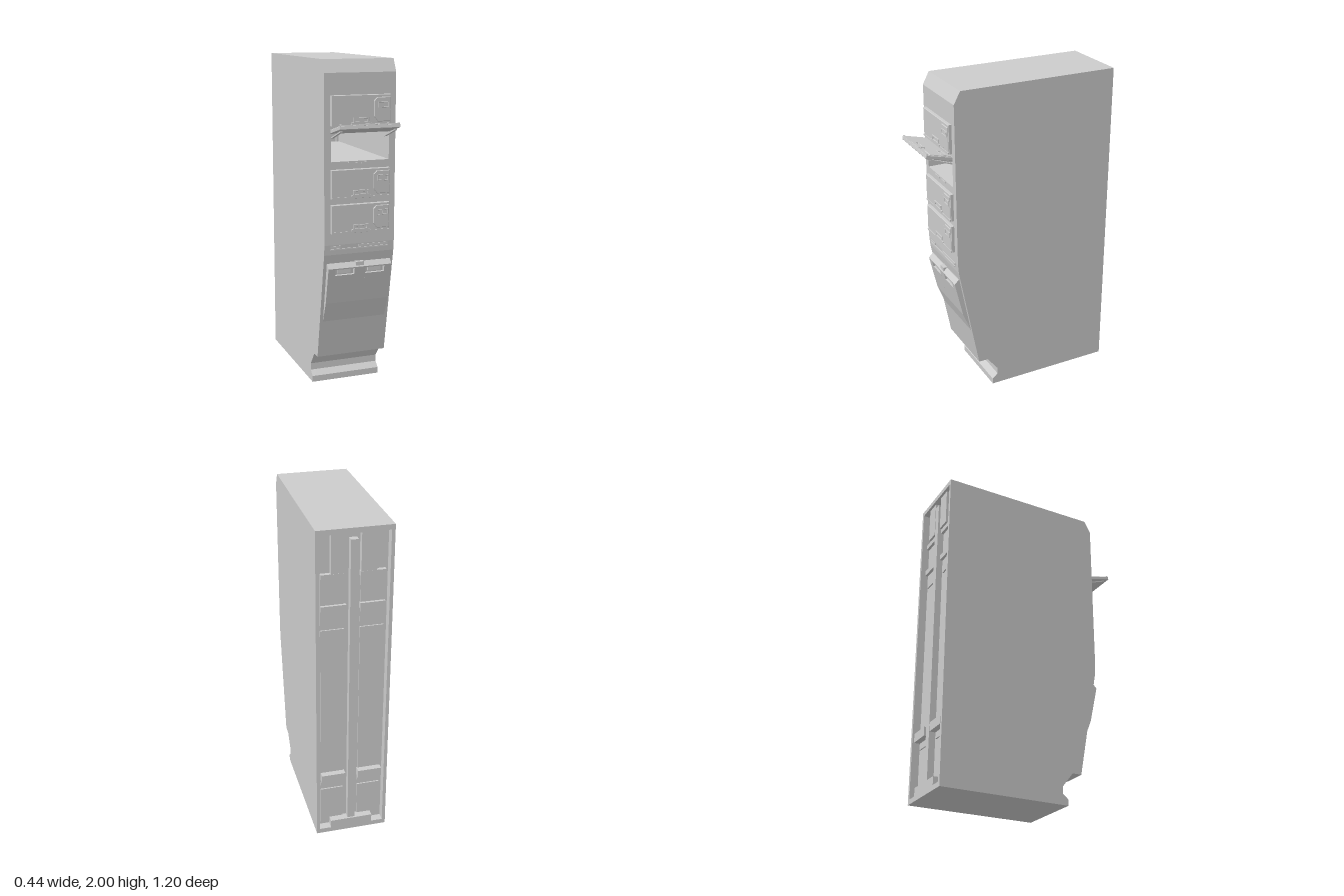
import * as THREE from 'three';

const material = new THREE.MeshStandardMaterial({ color: 0xcccccc, flatShading: true });

function add(parent, name, geometry, x = 0, y = 0, z = 0) {
  const mesh = new THREE.Mesh(geometry, material);
  mesh.name = name;
  mesh.position.set(x, y, z);
  parent.add(mesh);
  return mesh;
}

// Box given by its limits on each axis
function block(parent, name, [x0, x1], [y0, y1], [z0, z1]) {
  return add(parent, name, new THREE.BoxGeometry(x1 - x0, y1 - y0, z1 - z0),
    (x0 + x1) / 2, (y0 + y1) / 2, (z0 + z1) / 2);
}

const toShape = (points) => new THREE.Shape(points.map(([a, b]) => new THREE.Vector2(a, b)));

// Side profile of (z, y) points, extruded from x0 to x1
function slice(parent, name, profile, x0, x1) {
  const geometry = new THREE.ExtrudeGeometry(toShape(profile), { depth: x1 - x0, bevelEnabled: false });
  geometry.rotateY(-Math.PI / 2).translate(x1, 0, 0);
  return add(parent, name, geometry);
}

// Flat outline of (x, y) points with a small bevel, from z0 forward
function plate(parent, name, points, z0, depth, bevel = 0.003, holes = []) {
  const shape = toShape(points);
  holes.forEach((h) => shape.holes.push(new THREE.Path(h.map(([a, b]) => new THREE.Vector2(a, b)))));
  const geometry = new THREE.ExtrudeGeometry(shape, {
    depth: depth - bevel, bevelEnabled: true, bevelThickness: bevel, bevelSize: bevel,
    bevelOffset: -bevel, bevelSegments: 1,
  });
  return add(parent, name, geometry, 0, 0, z0);
}

const rect = (x0, x1, y0, y1) => [[x0, y0], [x1, y0], [x1, y1], [x0, y1]];

// Door hanging down from its top edge, outer face toward +z
function createDoor(height) {
  const door = new THREE.Group();
  door.name = 'door';
  plate(door, 'doorPanel', rect(-0.183, 0.18, -height, 0), 0, 0.02);
  plate(door, 'latchPlate', [[0.1, -height + 0.02], [0.176, -height + 0.02], [0.176, -0.015],
    [0.095, -0.015], [0.076, -0.034], [0.076, -height + 0.05]], 0.018, 0.007);
  plate(door, 'latchFrame', rect(0.098, 0.17, -0.075, -0.04), 0.023, 0.005, 0.001,
    [rect(0.104, 0.164, -0.069, -0.046)]);
  block(door, 'latchButton', [0.135, 0.16], [-0.066, -0.05], [0.02, 0.027]);
  plate(door, 'handleFrame', [[-0.062, -height], [0.058, -height], [0.058, -height + 0.018],
    [0.045, -height + 0.022], [0.045, -height + 0.048], [-0.05, -height + 0.048],
    [-0.05, -height + 0.022], [-0.062, -height + 0.018]], 0.018, 0.008, 0.001,
  [rect(-0.04, 0.036, -height + 0.024, -height + 0.038)]);
  block(door, 'lowerLip', [-0.18, 0.178], [-height, -height + 0.01], [0.018, 0.024]);
  return door;
}

export function createModel() {
  const model = new THREE.Group();
  model.name = 'cabinet';

  // Cabinet body in slices: full sides, back recess inside them, bay in the core
  const body = new THREE.Group();
  body.name = 'body';
  model.add(body);
  const base = [[0.25, 0.2], [0.18, 0.11], [0.18, 0.068], [0.215, 0.038], [0.215, 0]];
  const lowerFront = [[0.44, 0.93], [0.435, 0.87], [0.31, 0.2], ...base];
  const top = [[0.4, 2], [0.44, 1.925]];
  const plainBack = [[-0.6, 0], [-0.6, 2]];
  const recessedBack = [[-0.6, 0], [-0.6, 0.03], [-0.55, 0.03], [-0.55, 1.97], [-0.6, 1.97], [-0.6, 2]];
  const bay = [[0.44, 1.61], [-0.4, 1.61], [-0.4, 1.42], [0.44, 1.42]];
  for (const s of [-1, 1]) {
    const span = (a, b) => (s > 0 ? [a, b] : [-b, -a]);
    slice(body, 'sideWall', [...plainBack, ...top, ...lowerFront], ...span(0.2, 0.22));
    slice(body, 'innerWall', [...recessedBack, ...top, ...lowerFront], ...span(0.18, 0.2));
  }
  slice(body, 'core', [...recessedBack, ...top, ...bay, ...lowerFront], -0.18, 0.18);

  // Ribbed rear wall inside the open bay
  const bayRibs = new THREE.Group();
  bayRibs.name = 'bayRibs';
  model.add(bayRibs);
  for (const x of [-0.165, -0.08, 0.08, 0.165]) {
    block(bayRibs, 'uprightRib', [x - 0.006, x + 0.006], [1.42, 1.61], [-0.4, -0.38]);
  }
  block(bayRibs, 'crossRib', [-0.18, 0.18], [1.505, 1.518], [-0.4, -0.38]);
  block(bayRibs, 'centreBlock', [-0.04, 0.04], [1.465, 1.505], [-0.4, -0.375]);

  // Closed doors, and one swung open above the bay
  for (const [y, height] of [[1.8, 0.175], [1.375, 0.17], [1.17, 0.17]]) {
    const door = createDoor(height);
    door.position.set(0, y, 0.44);
    model.add(door);
  }
  const openDoor = createDoor(0.168);
  openDoor.name = 'openDoor';
  openDoor.position.set(0, 1.585, 0.437);
  openDoor.rotation.x = -1.815;
  model.add(openDoor);
  for (const x of [-0.165, 0.165]) {
    slice(model, 'doorArm', [[0.42, 1.552], [0.57, 1.605], [0.57, 1.613], [0.42, 1.56]], x - 0.007, x + 0.007);
  }

  // Small catches below the bay and the slot strips
  block(model, 'catch', [-0.075, -0.015], [1.402, 1.412], [0.435, 0.444]);
  block(model, 'catch', [0.01, 0.07], [1.402, 1.412], [0.435, 0.444]);
  block(model, 'slotStrip', [-0.183, 0.178], [0.9, 0.907], [0.43, 0.444]);
  block(model, 'slotStrip', [-0.183, -0.12], [0.912, 0.924], [0.43, 0.444]);
  block(model, 'slotStrip', [-0.005, 0.178], [0.912, 0.924], [0.43, 0.444]);

  // Sloping lower flap with two hand pockets
  const flap = new THREE.Group();
  flap.name = 'flap';
  model.add(flap);
  const flapLow = [[0.405, 0.565], [0.345, 0.415], [0.34, 0.42], [0.41, 0.815]];
  const flapProfile = [[0.43, 0.817], [0.456, 0.79], ...flapLow];
  const pocketProfile = [[0.43, 0.817], [0.456, 0.79], [0.454, 0.783], [0.43, 0.783], [0.425, 0.745], [0.446, 0.745], ...flapLow];
  for (const [x0, x1] of [[-0.2, -0.155], [-0.035, 0.035], [0.155, 0.2]]) {
    slice(flap, 'flapPanel', flapProfile, x0, x1);
  }
  for (const [x0, x1] of [[-0.155, -0.035], [0.035, 0.155]]) {
    slice(flap, 'pocketPanel', pocketProfile, x0, x1);
    block(flap, 'pocketGrip', [x0 + 0.02, x1 - 0.02], [0.755, 0.785], [0.425, 0.44]);
  }
  block(flap, 'flapLatch', [-0.025, 0.025], [0.797, 0.82], [0.42, 0.452]);

  // Back: centre post, panels, brackets and blocks within the recess
  const back = new THREE.Group();
  back.name = 'back';
  model.add(back);
  block(back, 'centrePost', [-0.022, 0.022], [0.03, 1.93], [-0.59, -0.55]);
  block(back, 'bottomBlock', [-0.13, 0.13], [0.03, 0.08], [-0.6, -0.55]);
  for (const s of [-1, 1]) {
    const span = (a, b) => (s > 0 ? [a, b] : [-b, -a]);
    block(back, 'topBlock', span(0.04, 0.13), [1.74, 1.97], [-0.585, -0.55]);
    for (const [y0, y1] of [[0.05, 0.3], [0.33, 1.39], [1.42, 1.71]]) {
      block(back, 'backPanel', span(0.045, 0.185), [y0, y1], [-0.558, -0.55]);
    }
    for (const [y0, y1, z] of [[1.705, 1.735, -0.575], [1.51, 1.545, -0.575], [0.37, 0.425, -0.595]]) {
      block(back, 'bracket', span(0.04, 0.185), [y0, y1], [z, -0.55]);
    }
  }
  return model;
}
